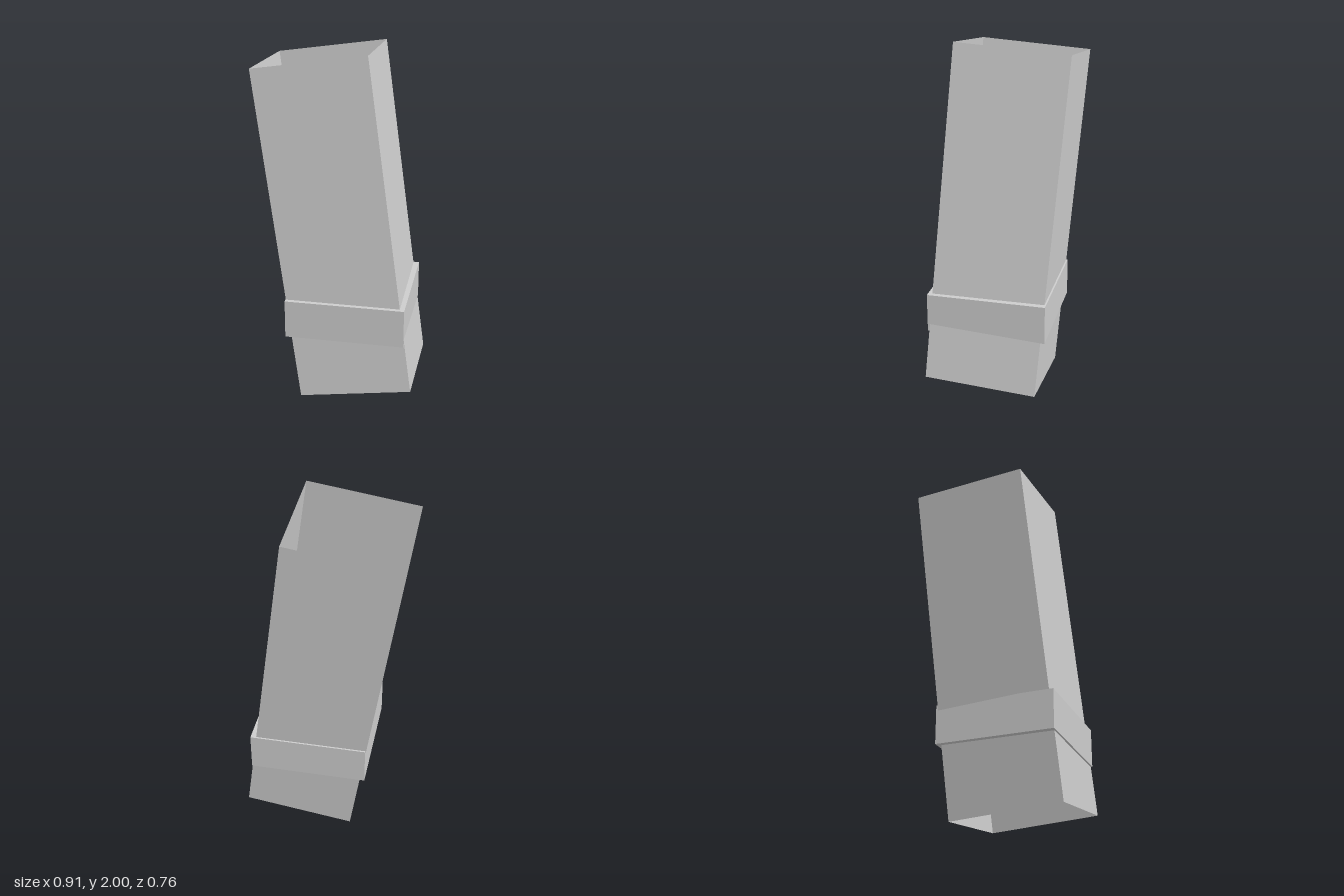
import * as THREE from 'three';

export function createModel() {
  const model = new THREE.Group();
  model.name = 'leaningChimney';

  const grey = new THREE.MeshStandardMaterial({ color: 0xcccccc, side: THREE.DoubleSide });
  grey.name = 'lightGrey';

  // Open square shaft, leaning to one side and slightly backwards
  const side = 0.635;
  const walls = new THREE.CylinderGeometry(
    side / Math.SQRT2, side / Math.SQRT2, 1.892, 4, 1, true, Math.PI / 4
  ).toNonIndexed();
  walls.computeVertexNormals();
  const shaft = new THREE.Mesh(walls, grey);
  shaft.name = 'shaft';
  shaft.position.y = 1;
  shaft.rotation.set(-0.063, 0, 0.147);
  model.add(shaft);

  // Upright solid collar that closes the shaft
  const collar = new THREE.Mesh(new THREE.BoxGeometry(0.67, 0.22, 0.67), grey);
  collar.name = 'collar';
  collar.position.set(0.071, 0.516, 0.031);
  model.add(collar);

  return model;
}
